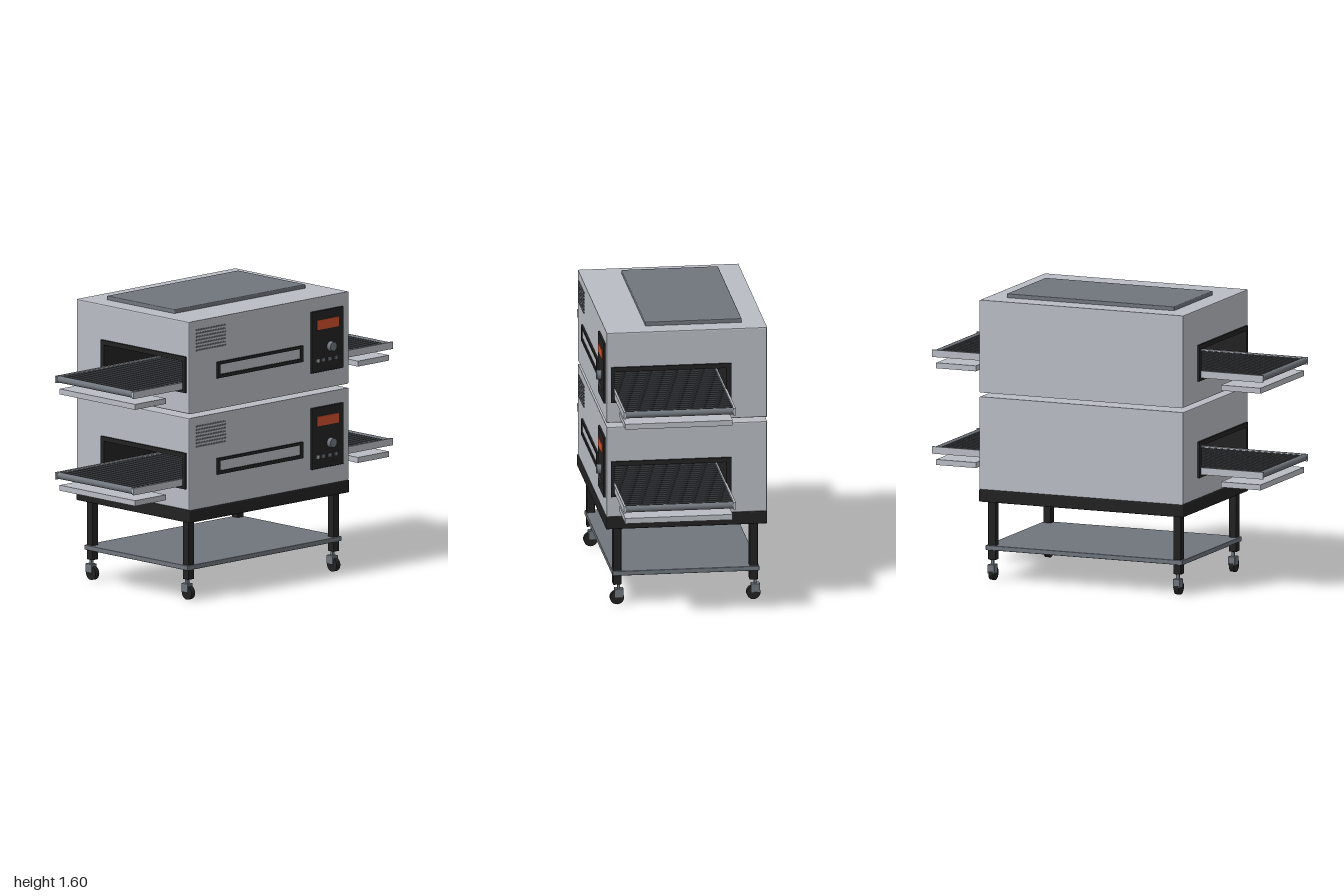
import * as THREE from 'three';
import { RoundedBoxGeometry } from 'three/addons/geometries/RoundedBoxGeometry.js';

const mat = (name, color) => Object.assign(new THREE.MeshStandardMaterial({ color }), { name });

export function createModel() {
  const body = mat('brushed steel', 0xb9bdc4);
  const dark = mat('black enamel', 0x222222);
  const steel = mat('grey steel', 0x70767d);
  const orange = mat('display orange', 0xd0502c);
  const model = new THREE.Group();
  model.name = 'doubleConveyorOven';

  const add = (parent, name, geo, m) => {
    const mesh = new THREE.Mesh(geo, m);
    mesh.name = name;
    parent.add(mesh);
    return mesh;
  };
  // Box given by its limits on each axis, optionally with rounded edges
  const box = (parent, name, m, x0, x1, y0, y1, z0, z1, r = 0) => {
    const s = [x1 - x0, y1 - y0, z1 - z0];
    const geo = r ? new RoundedBoxGeometry(...s, 2, r) : new THREE.BoxGeometry(...s);
    const mesh = add(parent, name, geo, m);
    mesh.position.set((x0 + x1) / 2, (y0 + y1) / 2, (z0 + z1) / 2);
    return mesh;
  };
  const rect = (u0, u1, v0, v1, Type = THREE.Shape) => new Type([
    new THREE.Vector2(u0, v0), new THREE.Vector2(u1, v0),
    new THREE.Vector2(u1, v1), new THREE.Vector2(u0, v1)]);
  // Rectangular ring, extruded along z and centred on it
  const ring = (outer, inner, depth, bevel = 0) => {
    const shape = rect(...outer);
    shape.holes.push(rect(...inner, THREE.Path));
    const geo = new THREE.ExtrudeGeometry(shape, {
      depth: depth - 2 * bevel, bevelEnabled: bevel > 0, bevelSize: bevel,
      bevelThickness: bevel, bevelOffset: -bevel, bevelSegments: 2 });
    return geo.translate(0, 0, -depth / 2 + bevel);
  };

  // One oven deck; heights are measured from the bottom of its housing
  const makeOven = (name, y) => {
    const oven = new THREE.Group();
    oven.name = name;
    oven.position.y = y;
    model.add(oven);

    // Housing and dark tunnel running through it from side to side
    add(oven, 'housing', ring([-0.43, 0.465, 0, 0.52], [-0.4, 0.256, 0.128, 0.312], 1.232, 0.007)
      .rotateY(Math.PI / 2), body);
    add(oven, 'tunnel', ring([-0.408, 0.264, 0.118, 0.322], [-0.388, 0.236, 0.131, 0.296], 1.254)
      .rotateY(Math.PI / 2), dark);

    // Conveyor: belt, cross rods, side rails and end rollers
    box(oven, 'belt', dark, -0.97, 0.97, 0.142, 0.165, -0.23, 0.375);
    for (let i = -25; i <= 25; i++) {
      const x = i * 0.0375;
      box(oven, 'beltRod', steel, x - 0.004, x + 0.004, 0.163, 0.17, -0.23, 0.375);
    }
    for (const z of [-0.24, 0.373]) {
      box(oven, 'sideRail', body, -1, 1, 0.134, 0.174, z, z + 0.012);
    }
    for (const s of [-1, 1]) {
      const roller = add(oven, 'endRoller',
        new THREE.CylinderGeometry(0.019, 0.019, 0.605, 16).rotateX(Math.PI / 2), steel);
      roller.position.set(s * 0.979, 0.154, 0.0725);
      const x = s * 0.86;
      box(oven, 'crumbTray', body, x - 0.12, x + 0.12, 0.069, 0.1, -0.225, 0.375);
    }

    // Front window
    add(oven, 'windowFrame', ring([-0.405, 0.255, 0.174, 0.266], [-0.385, 0.235, 0.194, 0.25], 0.012), dark)
      .position.z = 0.434;
    box(oven, 'windowPane', body, -0.387, 0.237, 0.192, 0.252, 0.428, 0.433);

    // Vent slats
    for (let i = 0; i < 7; i++) {
      const v = 0.353 + i * 0.019;
      box(oven, 'ventSlat', steel, -0.565, -0.335, v - 0.004, v + 0.004, 0.428, 0.435);
    }

    // Control panel
    box(oven, 'controlPanel', dark, 0.32, 0.566, 0.098, 0.445, 0.426, 0.442, 0.004);
    box(oven, 'display', orange, 0.36, 0.526, 0.339, 0.393, 0.44, 0.446);
    const knob = add(oven, 'knob', new THREE.CylinderGeometry(0.026, 0.028, 0.026, 20).rotateX(Math.PI / 2), steel);
    knob.position.set(0.463, 0.235, 0.455);
    [0.364, 0.405, 0.455, 0.503].forEach((x, i) =>
      box(oven, 'button', i ? steel : body, x - 0.01, x + 0.01, 0.156, 0.174, 0.44, 0.446));
  };
  makeOven('lowerOven', 0.518);
  makeOven('upperOven', 1.062);

  // Lid plate on top
  box(model, 'topPlate', steel, -0.506, 0.506, 1.578, 1.604, -0.338, 0.2, 0.005);

  // Stand
  box(model, 'standFrame', dark, -0.617, 0.617, 0.447, 0.518, -0.466, 0.434, 0.006);
  box(model, 'shelf', steel, -0.595, 0.595, 0.17, 0.197, -0.425, 0.395, 0.004);
  for (const x of [-0.56, 0.56]) {
    for (const z of [-0.395, 0.367]) {
      box(model, 'leg', dark, x - 0.023, x + 0.023, 0.115, 0.45, z - 0.023, z + 0.023, 0.004);
      const caster = new THREE.Group();
      caster.name = 'caster';
      caster.position.set(x, 0, z);
      model.add(caster);
      box(caster, 'stem', steel, -0.008, 0.008, 0.08, 0.12, -0.018, -0.002);
      box(caster, 'fork', steel, -0.021, 0.021, 0.04, 0.09, -0.036, 0.013, 0.003);
      add(caster, 'wheel', new THREE.CylinderGeometry(0.039, 0.039, 0.028, 20).rotateZ(Math.PI / 2), dark)
        .position.y = 0.039;
    }
  }
  return model;
}
